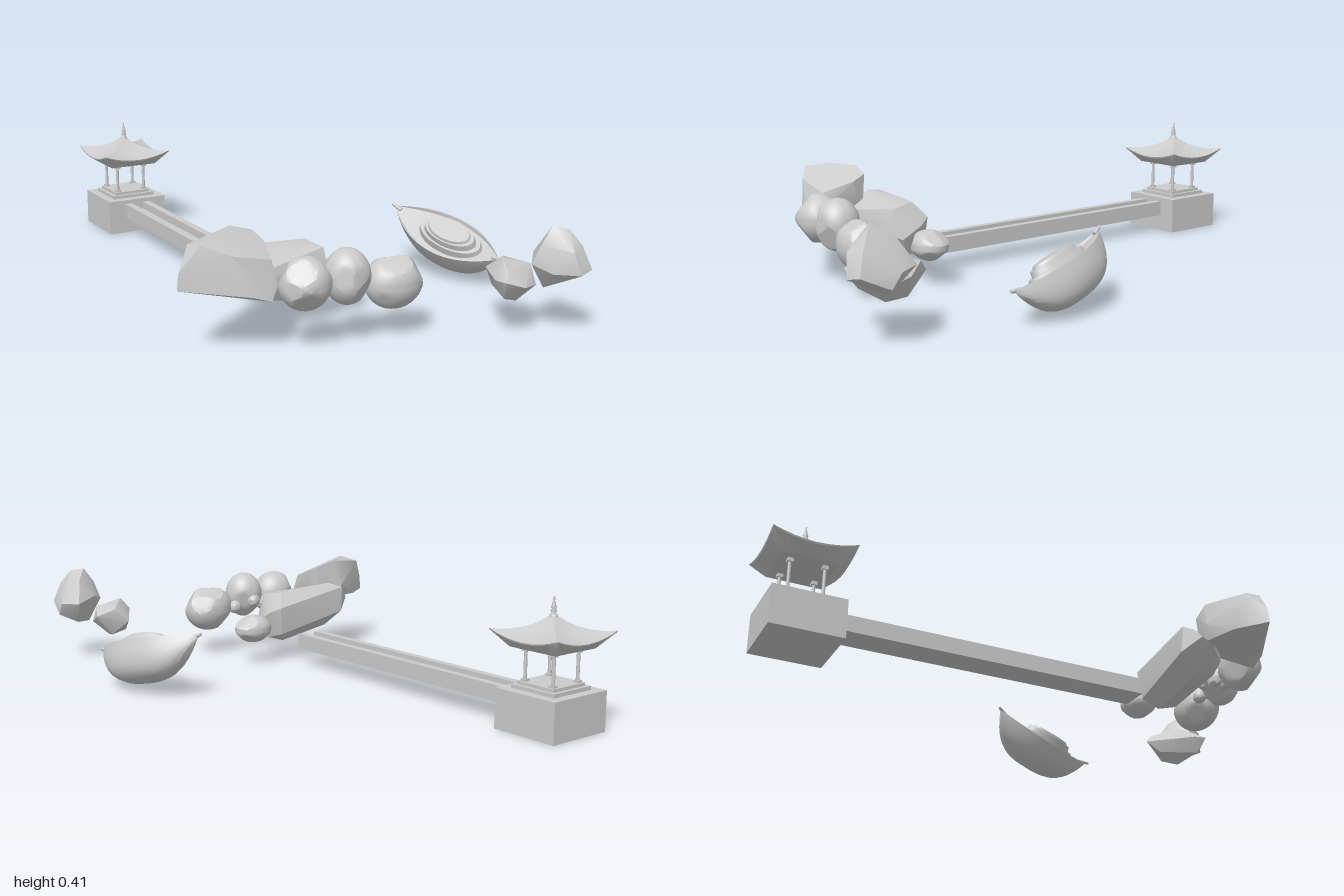
import * as THREE from 'three';
import { toCreasedNormals } from 'three/addons/utils/BufferGeometryUtils.js';
import { ConvexGeometry } from 'three/addons/geometries/ConvexGeometry.js';

const material = new THREE.MeshStandardMaterial({ color: 0xcccccc, roughness: 0.85 });

function add(parent, name, geometry, x = 0, y = 0, z = 0) {
  const mesh = new THREE.Mesh(geometry, material);
  mesh.name = name;
  mesh.position.set(x, y, z);
  parent.add(mesh);
  return mesh;
}

const box = (w, h, d) => new THREE.BoxGeometry(w, h, d);

// Skin a series of equal-length closed rings and cap both ends
function loft(rings, crease) {
  const n = rings[0].length;
  const pos = [];
  const tri = (...pts) => pts.forEach((p) => pos.push(p.x, p.y, p.z));
  const middle = (ring) => ring.reduce((s, p) => s.add(p), new THREE.Vector3()).divideScalar(n);
  const first = rings[0], last = rings[rings.length - 1];
  const c0 = middle(first), c1 = middle(last);
  for (let j = 0; j < n; j++) {
    const k = (j + 1) % n;
    for (let i = 0; i < rings.length - 1; i++) {
      tri(rings[i][j], rings[i][k], rings[i + 1][j]);
      tri(rings[i][k], rings[i + 1][k], rings[i + 1][j]);
    }
    tri(c0, first[k], first[j]);
    tri(c1, last[j], last[k]);
  }
  const g = new THREE.BufferGeometry();
  g.setAttribute('position', new THREE.Float32BufferAttribute(pos, 3));
  return toCreasedNormals(g, crease);
}

// Square roof ring whose edges sweep up from the middle to the corners
function roofRing([half, yMiddle, yCorner]) {
  const corners = [[1, -1], [1, 1], [-1, 1], [-1, -1]];
  const ring = [];
  corners.forEach(([x, z], i) => {
    const [nx, nz] = corners[(i + 1) % 4];
    for (let s = 0; s < 8; s++) {
      const t = s / 8;
      const y = yMiddle + (yCorner - yMiddle) * (2 * t - 1) ** 2;
      ring.push(new THREE.Vector3((x + (nx - x) * t) * half, y, (z + (nz - z) * t) * half));
    }
  });
  return ring;
}

function buildPavilion() {
  const g = new THREE.Group();
  g.name = 'pavilion';
  add(g, 'plinth', box(0.23, 0.127, 0.23), 0, 0.0635, 0);
  add(g, 'lowerStep', box(0.165, 0.012, 0.165), 0, 0.133, 0);
  add(g, 'upperStep', box(0.14, 0.01, 0.14), 0, 0.144, 0);
  for (const x of [-0.054, 0.054]) for (const z of [-0.054, 0.054]) {
    add(g, 'post', new THREE.CylinderGeometry(0.0055, 0.0055, 0.108, 12), x, 0.2, z);
    add(g, 'postFoot', box(0.018, 0.008, 0.018), x, 0.152, z);
    add(g, 'postHead', box(0.018, 0.012, 0.018), x, 0.246, z);
  }
  // Concave roof with a tapered underside
  const profile = [[0.011, 0.345, 0.345], [0.028, 0.329, 0.33], [0.05, 0.313, 0.317], [0.078, 0.299, 0.308],
    [0.106, 0.29, 0.304], [0.132, 0.283, 0.307], [0.13, 0.278, 0.302], [0.088, 0.252, 0.252]];
  add(g, 'roof', loft(profile.map(roofRing), 0.5));
  const finial = [[0.013, 0.343], [0.012, 0.35], [0.006, 0.355], [0.01, 0.361], [0.006, 0.367],
    [0.009, 0.374], [0.005, 0.38], [0.006, 0.385], [0.003, 0.391], [0.003, 0.404], [0, 0.406]];
  add(g, 'finial', new THREE.LatheGeometry(finial.map(([r, y]) => new THREE.Vector2(r, y)), 16));
  g.position.set(-0.17, 0, -0.865);
  return g;
}

function buildCauseway() {
  const g = new THREE.Group();
  g.name = 'causeway';
  const length = 1.045;
  add(g, 'deck', box(0.1, 0.027, length), 0, 0.0715, 0);
  for (const side of [-1, 1]) add(g, 'parapet', box(0.027, 0.027, length), side * 0.0365, 0.0985, 0);
  g.position.set(-0.17, 0, -0.2275);
  return g;
}

function buildBoat() {
  const g = new THREE.Group();
  g.name = 'boat';
  // Hull: rounded sections below the gunwale, sunken deck above
  const rings = [];
  for (let i = 0; i <= 24; i++) {
    const t = -1 + i / 12;
    const width = 0.003 + 0.084 * (1 - Math.abs(t) ** 2.1);
    const depth = 0.008 + 0.112 * (1 - Math.abs(t) ** 3.2);
    const sheer = -0.012 + 0.016 * t * t;
    const ring = [];
    for (let j = 0; j < 32; j++) {
      const a = (j / 32) * Math.PI * 2;
      const c = Math.cos(a), s = Math.sin(a);
      const x = width * Math.sign(c) * Math.abs(c) ** 0.8;
      const drop = s < -1e-6 ? -depth * Math.abs(s) ** 0.85 : Math.abs(c) < 0.85 ? -0.1 * depth : 0;
      ring.push(new THREE.Vector3(x, sheer + drop, t * 0.222));
    }
    rings.push(ring);
  }
  add(g, 'hull', loft(rings, 0.6));
  // Oval deck tiers
  const tier = (name, rx, rz, y, h) => {
    const oval = new THREE.CylinderGeometry(0.93, 1, h, 32);
    oval.scale(rx, 1, rz);
    add(g, name, oval, 0, y, 0.02);
  };
  tier('cabinBase', 0.064, 0.13, -0.012, 0.024);
  tier('cabin', 0.054, 0.105, 0.008, 0.022);
  tier('cabinRoof', 0.046, 0.085, 0.023, 0.01);
  // Slim posts at bow and stern
  for (const end of [-1, 1]) {
    const post = add(g, 'endPost', new THREE.CylinderGeometry(0.005, 0.007, 0.04, 10), 0, 0.004, end * 0.218);
    post.rotation.x = end * 1.3;
  }
  // The boat lies heeled over and nose down
  const along = new THREE.Vector3(0.259, -0.227, 0.94).normalize();
  const across = new THREE.Vector3(-0.5, 0.87, 0).cross(along).normalize();
  const up = along.clone().cross(across);
  g.quaternion.setFromRotationMatrix(new THREE.Matrix4().makeBasis(across, up, along));
  g.position.set(0.503, 0.155, 0.303);
  return g;
}

// Angular boulder: hull around a few corners
function boulder(parent, name, points) {
  const g = new ConvexGeometry(points.map((p) => new THREE.Vector3(...p)));
  add(parent, name, toCreasedNormals(g, 0.6));
}

// Rounded stone: ellipsoid with seeded flat chips
function stone(parent, name, [x, y, z], [rx, ry, rz], seed) {
  let state = seed * 7919;
  const rand = () => (state = (state * 16807) % 2147483647) / 2147483647;
  const chips = Array.from({ length: 8 }, () => ({
    n: new THREE.Vector3(rand() - 0.5, rand() - 0.5, rand() - 0.5).normalize(),
    d: 0.82 + rand() * 0.14,
  }));
  const g = new THREE.IcosahedronGeometry(1, 6);
  const p = g.attributes.position;
  const v = new THREE.Vector3();
  for (let i = 0; i < p.count; i++) {
    v.fromBufferAttribute(p, i).normalize();
    let r = 1;
    for (const { n, d } of chips) {
      const dot = v.dot(n);
      if (dot > 0) r = Math.min(r, d / dot);
    }
    p.setXYZ(i, v.x * r * rx, v.y * r * ry, v.z * r * rz);
  }
  add(parent, name, toCreasedNormals(g, 0.4), x, y, z);
}

function buildRocks() {
  const g = new THREE.Group();
  g.name = 'rocks';
  boulder(g, 'pointedBoulder', [[-0.615, 0.2, 0.53], [-0.61, 0.25, 0.53], [-0.56, 0.32, 0.49], [-0.55, 0.33, 0.55],
    [-0.48, 0.345, 0.5], [-0.4, 0.34, 0.44], [-0.33, 0.32, 0.45], [-0.32, 0.3, 0.5], [-0.35, 0.27, 0.6],
    [-0.34, 0.2, 0.62], [-0.37, 0.16, 0.64], [-0.43, 0.18, 0.635], [-0.48, 0.3, 0.6], [-0.43, 0.25, 0.42],
    [-0.4, 0.2, 0.43], [-0.33, 0.2, 0.46], [-0.52, 0.2, 0.46]]);
  boulder(g, 'longBoulder', [[-0.43, 0.2, 0.4], [-0.42, 0.18, 0.45], [-0.38, 0.25, 0.36], [-0.36, 0.26, 0.42],
    [-0.37, 0.16, 0.51], [-0.34, 0.1, 0.42], [-0.34, 0.12, 0.5], [-0.14, 0.065, 0.42], [-0.15, 0.07, 0.47],
    [-0.1, 0.16, 0.515], [-0.36, 0.2, 0.515], [-0.1, 0.24, 0.48], [-0.12, 0.25, 0.4], [-0.09, 0.2, 0.36],
    [-0.1, 0.1, 0.37], [-0.37, 0.16, 0.355], [-0.065, 0.18, 0.4], [-0.07, 0.14, 0.47], [-0.09, 0.08, 0.44]]);
  boulder(g, 'lowShoreBoulder', [[0.365, 0.16, 0.68], [0.4, 0.2, 0.72], [0.44, 0.17, 0.78], [0.42, 0.14, 0.85],
    [0.42, 0.2, 0.82], [0.33, 0.225, 0.8], [0.33, 0.16, 0.905], [0.27, 0.18, 0.89], [0.27, 0.175, 0.84],
    [0.29, 0.12, 0.86], [0.37, 0.09, 0.82], [0.39, 0.1, 0.76], [0.35, 0.12, 0.73], [0.3, 0.2, 0.86]]);
  boulder(g, 'tallShoreBoulder', [[0.37, 0.22, 0.88], [0.385, 0.28, 0.9], [0.425, 0.335, 0.9], [0.465, 0.325, 0.93],
    [0.47, 0.3, 0.85], [0.49, 0.28, 0.96], [0.535, 0.215, 0.87], [0.5, 0.22, 0.8], [0.42, 0.24, 0.83],
    [0.51, 0.21, 0.985], [0.46, 0.2, 0.995], [0.4, 0.2, 0.94], [0.53, 0.17, 0.9], [0.47, 0.14, 0.87],
    [0.42, 0.14, 0.88], [0.44, 0.27, 0.98]]);
  stone(g, 'roundStone', [-0.275, 0.205, 0.66], [0.08, 0.08, 0.073], 3);
  stone(g, 'roundStone', [-0.138, 0.207, 0.668], [0.07, 0.085, 0.071], 11);
  stone(g, 'roundStone', [0.02, 0.17, 0.677], [0.094, 0.084, 0.076], 23);
  stone(g, 'smallStone', [-0.003, 0.128, 0.415], [0.07, 0.05, 0.06], 31);
  [[-0.2, 0.18, 0.612], [-0.14, 0.19, 0.603], [-0.07, 0.17, 0.63], [-0.205, 0.17, 0.64]].forEach((c, i) =>
    stone(g, 'pebble', c, [0.025, 0.024, 0.023], 41 + i));
  return g;
}

export function createModel() {
  const model = new THREE.Group();
  model.name = 'waterGarden';
  model.add(buildPavilion(), buildCauseway(), buildBoat(), buildRocks());
  return model;
}
